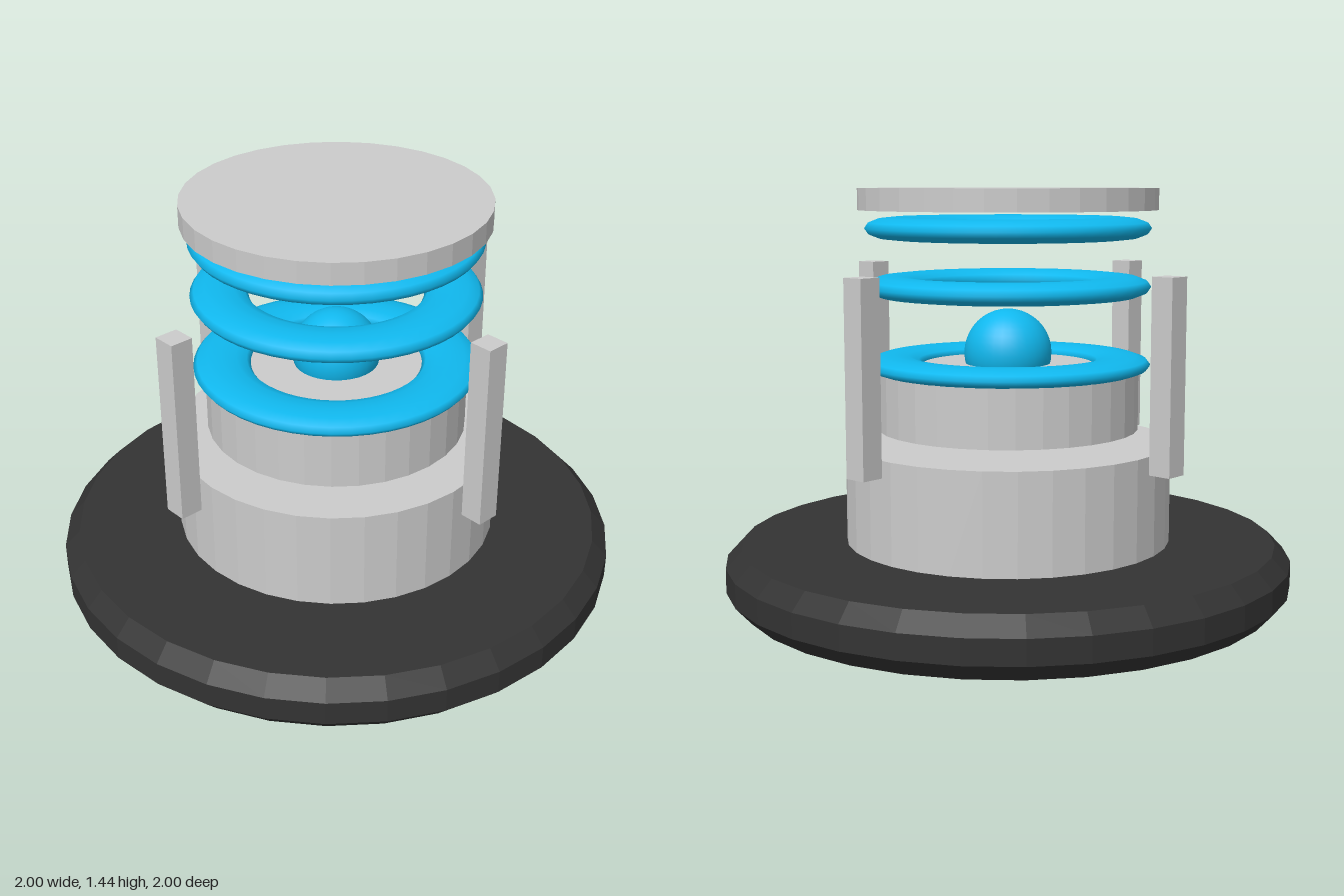
import * as THREE from 'three';

const SIDES = 32;

export function createModel() {
  const model = new THREE.Group();
  const grey = new THREE.MeshStandardMaterial({ color: 0xcccccc, flatShading: true });
  const dark = new THREE.MeshStandardMaterial({ color: 0x333333, flatShading: true });
  const blue = new THREE.MeshStandardMaterial({ color: 0x10b8ee });

  const add = (name, geometry, material, x, y, z) => {
    const mesh = new THREE.Mesh(geometry, material);
    mesh.name = name;
    mesh.position.set(x, y, z);
    model.add(mesh);
    return mesh;
  };

  // upright cylinder given by radius and its bottom and top heights
  const drum = (name, radius, bottom, top) =>
    add(name, new THREE.CylinderGeometry(radius, radius, top - bottom, SIDES), grey, 0, (bottom + top) / 2, 0);

  // bevelled base plate
  const profile = [[0, 0], [0.945, 0], [1, 0.06], [1, 0.145], [0.945, 0.203], [0, 0.203]]
    .map(([r, y]) => new THREE.Vector2(r, y));
  add('basePlate', new THREE.LatheGeometry(profile, SIDES), dark, 0, 0, 0);

  // stacked body and floating lid
  drum('lowerDrum', 0.575, 0.203, 0.553);
  drum('upperDrum', 0.46, 0.6, 0.828);
  drum('lid', 0.523, 1.365, 1.44);

  // glowing core
  add('core', new THREE.SphereGeometry(0.154, 32, 20), blue, 0, 0.866, 0);

  // flattened energy rings: centre height and half thickness
  for (const [y, half] of [[0.828, 0.034], [1.1, 0.039], [1.302, 0.039]]) {
    const ring = new THREE.TorusGeometry(0.4, 0.1, 12, 48);
    ring.rotateX(Math.PI / 2);
    ring.scale(1, half / 0.1, 1);
    add('energyRing', ring, blue, 0, y, 0);
  }

  // four floating posts around the core
  for (let i = 0; i < 4; i++) {
    const a = (i * Math.PI) / 2;
    add('post', new THREE.BoxGeometry(0.08, 0.644, 0.08), grey, 0.69 * Math.cos(a), 0.84, 0.69 * Math.sin(a));
  }

  return model;
}
